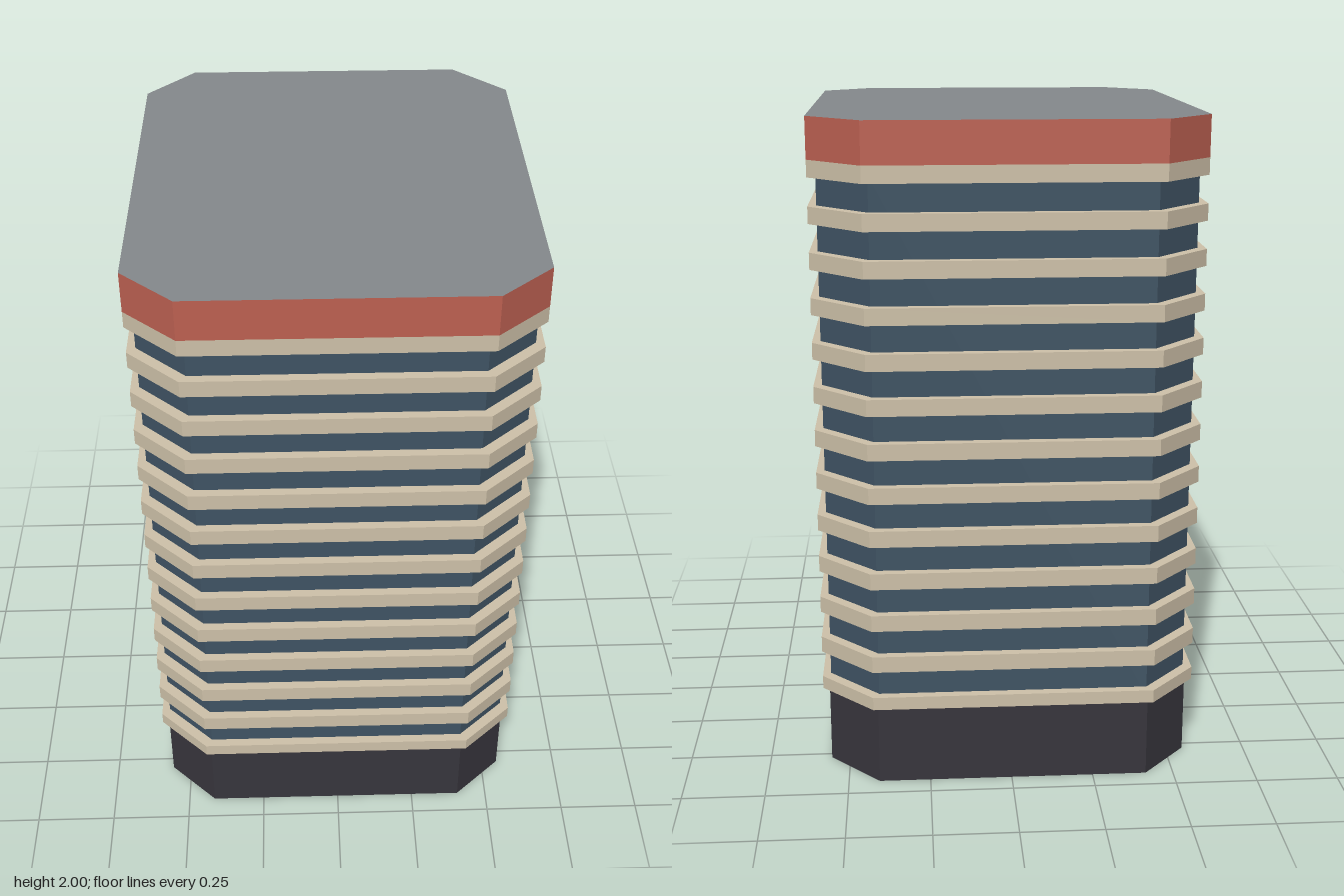
import * as THREE from 'three';

const paint = (name, color) => {
  const m = new THREE.MeshStandardMaterial({ color });
  m.name = name;
  return m;
};

// Chamfered, slightly irregular floor plan as [x, z], counter-clockwise from above
const PLAN = [
  [-0.43, 0.697], [0.42, 0.697], [0.573, 0.56], [0.578, -0.538],
  [0.42, -0.7], [-0.43, -0.7], [-0.575, -0.543], [-0.581, 0.553],
];

// Upright prism over the plan, scaled in x and z, from y0 to y1
function prism(name, sx, sz, y0, y1, material) {
  const shape = new THREE.Shape(PLAN.map(([x, z]) => new THREE.Vector2(x * sx, -z * sz)));
  const geometry = new THREE.ExtrudeGeometry(shape, { depth: y1 - y0, bevelEnabled: false });
  geometry.rotateX(-Math.PI / 2).translate(0, y0, 0);
  const mesh = new THREE.Mesh(geometry, material);
  mesh.name = name;
  return mesh;
}

export function createModel() {
  const stone = paint('sandstone', 0xcdc0a8);
  const glass = paint('blue glass', 0x3f5363);
  const plinth = paint('dark plinth', 0x37353c);
  const brick = paint('red brick', 0xbc6051);
  const roof = paint('roof grey', 0x84888b);

  const tower = new THREE.Group();
  tower.name = 'tower';

  // Ground floor and glazed shaft
  tower.add(prism('base', 0.966, 0.973, 0, 0.255, plinth));
  tower.add(prism('glassShaft', 0.958, 0.96, 0.255, 1.85, glass));

  // Projecting floor slabs
  const slabs = new THREE.Group();
  slabs.name = 'floorSlabs';
  for (let i = 0; i < 13; i++) {
    const top = 0.288 + i * 0.1325;
    slabs.add(prism(`floorSlab${i + 1}`, 1, 1, top - (i ? 0.05 : 0.04), top, stone));
  }
  tower.add(slabs);

  // Crown: grey flat roof on top, red band around the sides
  tower.add(prism('crown', 1, 1, 1.878, 2, [roof, brick]));
  return tower;
}
